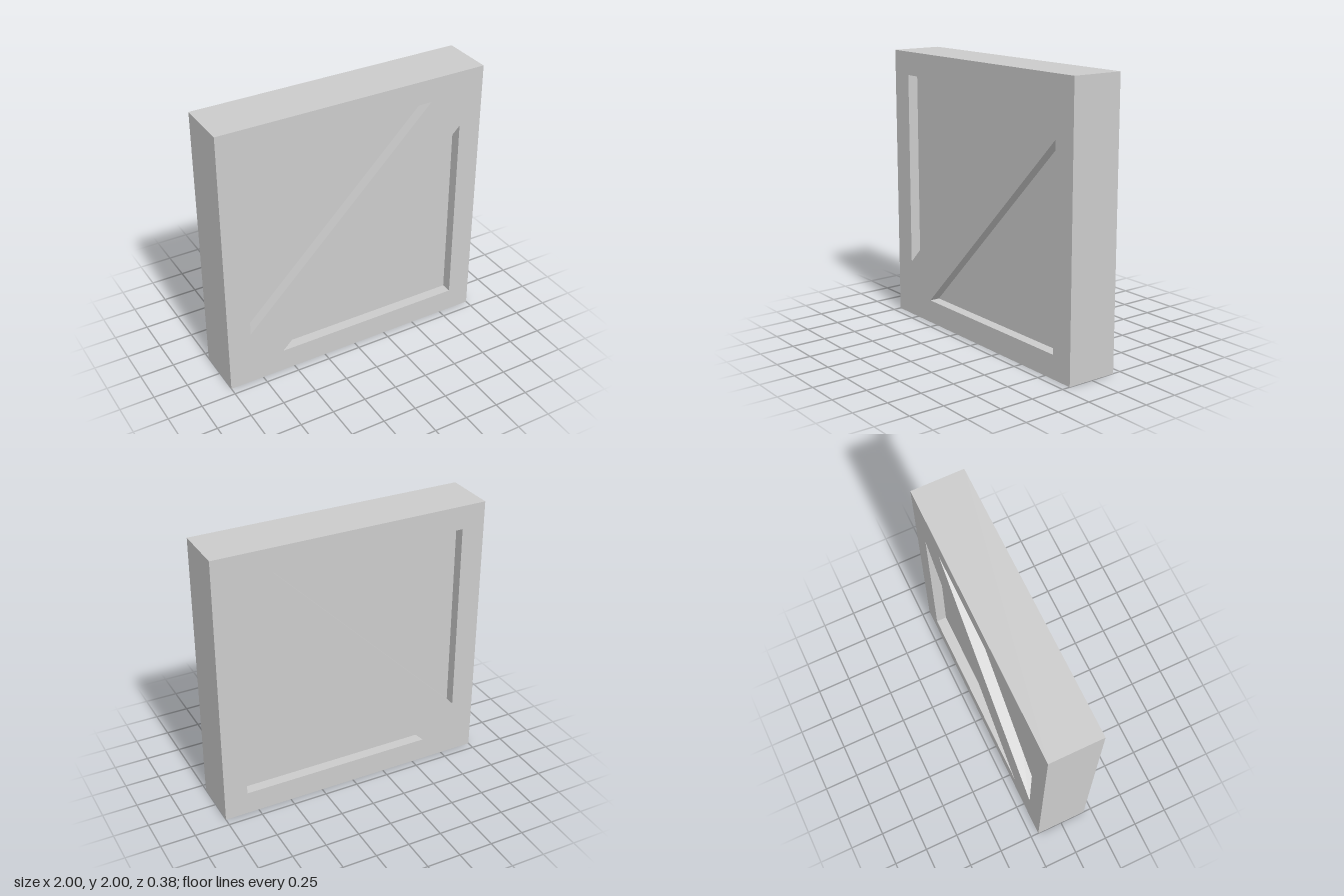
import * as THREE from 'three';

const DEPTH = 0.38;   // overall thickness
const RECESS = 0.077; // how far the panels sit below each face

const polygon = (points) => new THREE.Shape(points.map(([x, y]) => new THREE.Vector2(x, y)));

// Straight extrusion centred on z = 0
function slab(name, shape, depth, material) {
  const geometry = new THREE.ExtrudeGeometry(shape, { depth, bevelEnabled: false });
  geometry.translate(0, 0, -depth / 2);
  const mesh = new THREE.Mesh(geometry, material);
  mesh.name = name;
  return mesh;
}

export function createModel() {
  const group = new THREE.Group();
  group.name = 'bracedPanel';
  const material = new THREE.MeshStandardMaterial({ color: 0xcccccc, flatShading: true });

  // Triangular openings either side of the diagonal brace (half-turn copies)
  const upper = [[-0.83, 1.83], [-0.83, 0.415], [0.585, 1.83]];
  const lower = upper.map(([x, y]) => [-x, 2 - y]);

  // Square frame with its diagonal brace
  const frame = polygon([[-1, 0], [1, 0], [1, 2], [-1, 2]]);
  frame.holes.push(polygon(upper), polygon(lower));
  group.add(slab('frameWithBrace', frame, DEPTH, material));

  // Panels filling the openings, recessed on front and back
  group.add(slab('upperPanel', polygon(upper), DEPTH - 2 * RECESS, material));
  group.add(slab('lowerPanel', polygon(lower), DEPTH - 2 * RECESS, material));

  return group;
}
